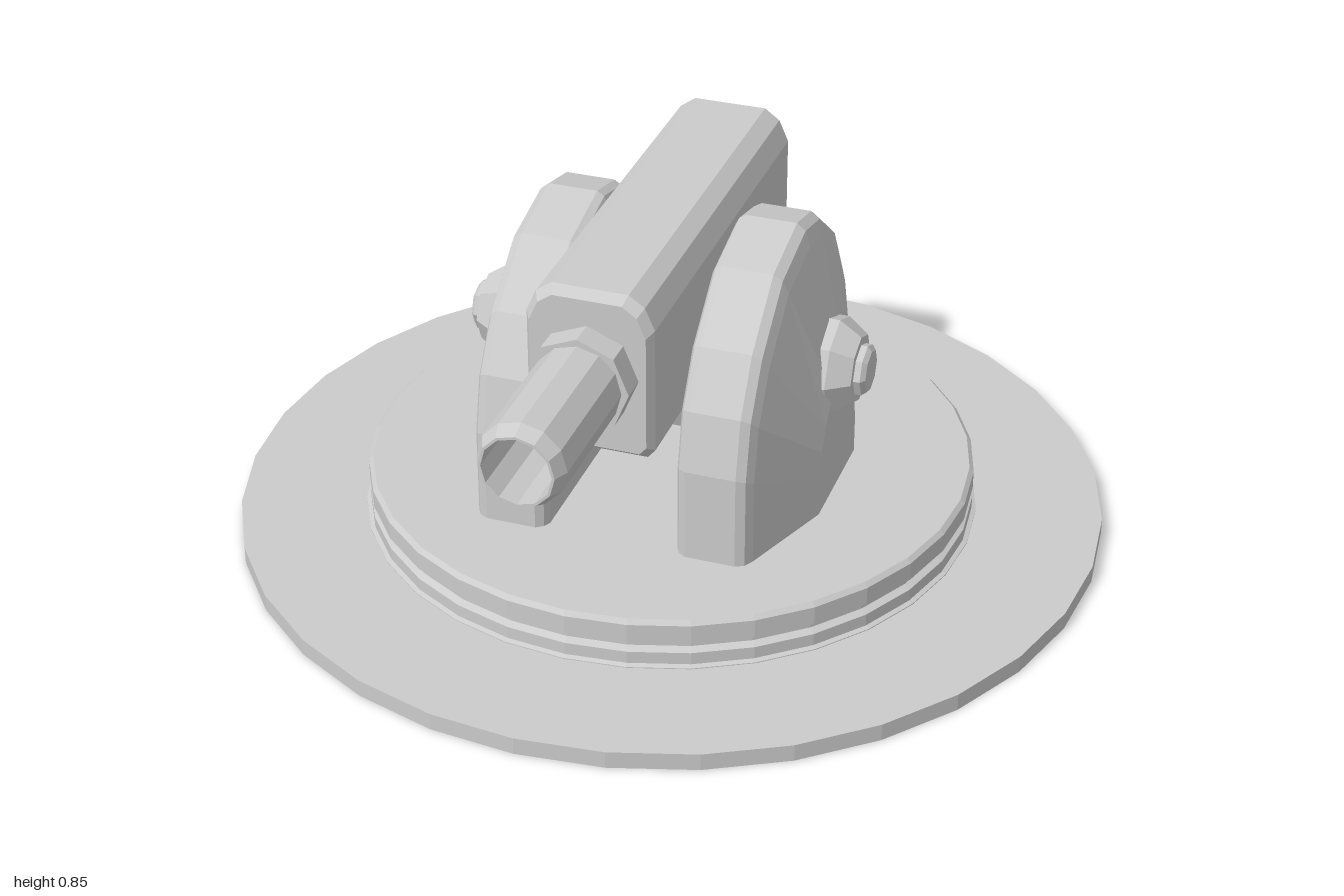
import * as THREE from 'three';

const grey = new THREE.MeshStandardMaterial({ color: 0xcccccc, flatShading: true });

function part(name, geometry) {
  const mesh = new THREE.Mesh(geometry, grey);
  mesh.name = name;
  return mesh;
}

// Turned part from [radius, height] pairs
function turned(name, profile, sides) {
  return part(name, new THREE.LatheGeometry(profile.map(([r, h]) => new THREE.Vector2(r, h)), sides));
}

// Skin over equal-sized closed sections (counterclockwise about the loft axis), capped at both ends
function loft(name, rings) {
  const n = rings[0].length, index = [];
  rings.slice(1).forEach((_, i) => {
    for (let j = 0; j < n; j++) {
      const a = i * n + j, b = i * n + (j + 1) % n;
      index.push(a, b, b + n, a, b + n, a + n);
    }
  });
  const last = (rings.length - 1) * n;
  for (let j = 1; j < n - 1; j++) index.push(0, j + 1, j, last, last + j, last + j + 1);
  const geometry = new THREE.BufferGeometry();
  geometry.setAttribute('position', new THREE.Float32BufferAttribute(rings.flat(2), 3));
  geometry.setIndex(index);
  geometry.computeVertexNormals();
  return part(name, geometry);
}

// Arched cheek outline as [z, y]
const arch = [
  [-0.37, 0.15], [-0.37, 0.355], [-0.325, 0.525], [-0.245, 0.66], [-0.11, 0.765], [0, 0.79],
  [0.17, 0.75], [0.315, 0.63], [0.39, 0.51], [0.42, 0.375], [0.42, 0.15],
];

// Cheek stations: x, depth scale, height scale
const cheekStations = [
  [0.15, 0.93, 0.96], [0.158, 0.97, 0.985], [0.175, 1, 1], [0.29, 1, 1],
  [0.31, 0.975, 0.975], [0.322, 0.92, 0.92], [0.405, 0.36, 0.45],
];

function cheek(side) {
  const rings = cheekStations.map(([x, sz, sy]) =>
    arch.map(([z, y]) => [side * x, 0.15 + (y - 0.15) * sy, 0.02 + (z - 0.02) * sz]));
  return loft(side > 0 ? 'leftCheek' : 'rightCheek', side > 0 ? rings : rings.reverse());
}

// Symmetric section from its right half, lofted along z through [z, scale] stations
function housing(name, half, centreY, stations) {
  const section = [...half, ...half.map(([x, y]) => [-x, y]).reverse()];
  return loft(name, stations.map(([z, s]) =>
    section.map(([x, y]) => [x * s, centreY + (y - centreY) * s, z])));
}

export function createModel() {
  const model = new THREE.Group();
  model.name = 'turret';

  // Mounting ring, hollowed underneath towards the hub
  model.add(turned('mountingRing', [[0.7, 0.036], [1, 0], [1, 0.04], [0.7, 0.04]], 32));

  // Grooved turntable on a hub that reaches the ground
  model.add(turned('turntable', [
    [0, 0], [0.71, 0], [0.71, 0.042], [0.7, 0.046], [0.7, 0.075], [0.685, 0.083], [0.685, 0.092],
    [0.7, 0.102], [0.7, 0.145], [0.69, 0.155], [0, 0.155],
  ], 32));

  // Side cheeks with pivot bolts
  for (const side of [1, -1]) {
    model.add(cheek(side));
    const bolt = turned(side > 0 ? 'leftPivotBolt' : 'rightPivotBolt', [
      [0, 0.36], [0.115, 0.36], [0.115, 0.395], [0.08, 0.445], [0.06, 0.445],
      [0.06, 0.46], [0.048, 0.47], [0, 0.47],
    ], 8);
    bolt.rotation.z = -side * Math.PI / 2;
    bolt.position.y = 0.45;
    model.add(bolt);
  }

  // Pivot drum under the housing
  const drum = part('pivotDrum', new THREE.CylinderGeometry(0.21, 0.21, 0.284, 8));
  drum.rotation.z = Math.PI / 2;
  drum.position.y = 0.46;
  model.add(drum);

  // Gun housing and rear plate
  model.add(housing('gunHousing',
    [[0.125, 0.46], [0.142, 0.48], [0.142, 0.77], [0.12, 0.82], [0.085, 0.845]], 0.65,
    [[-0.415, 1], [0.513, 1], [0.535, 0.91]]));
  model.add(housing('rearPlate',
    [[0.14, 0.46], [0.14, 0.77]], 0.615,
    [[-0.447, 0.93], [-0.42, 1], [-0.4, 1]]));

  // Barrel collar and hollow barrel
  const collar = turned('barrelCollar', [[0, 0.5], [0.113, 0.5], [0.113, 0.595], [0, 0.595]], 8);
  const barrel = turned('barrel', [
    [0, 0.55], [0.097, 0.55], [0.097, 0.905], [0.082, 0.938], [0.076, 0.938], [0.076, 0.75], [0, 0.75],
  ], 12);
  for (const tube of [collar, barrel]) {
    tube.rotation.x = Math.PI / 2;
    tube.position.y = 0.655;
    model.add(tube);
  }
  return model;
}
